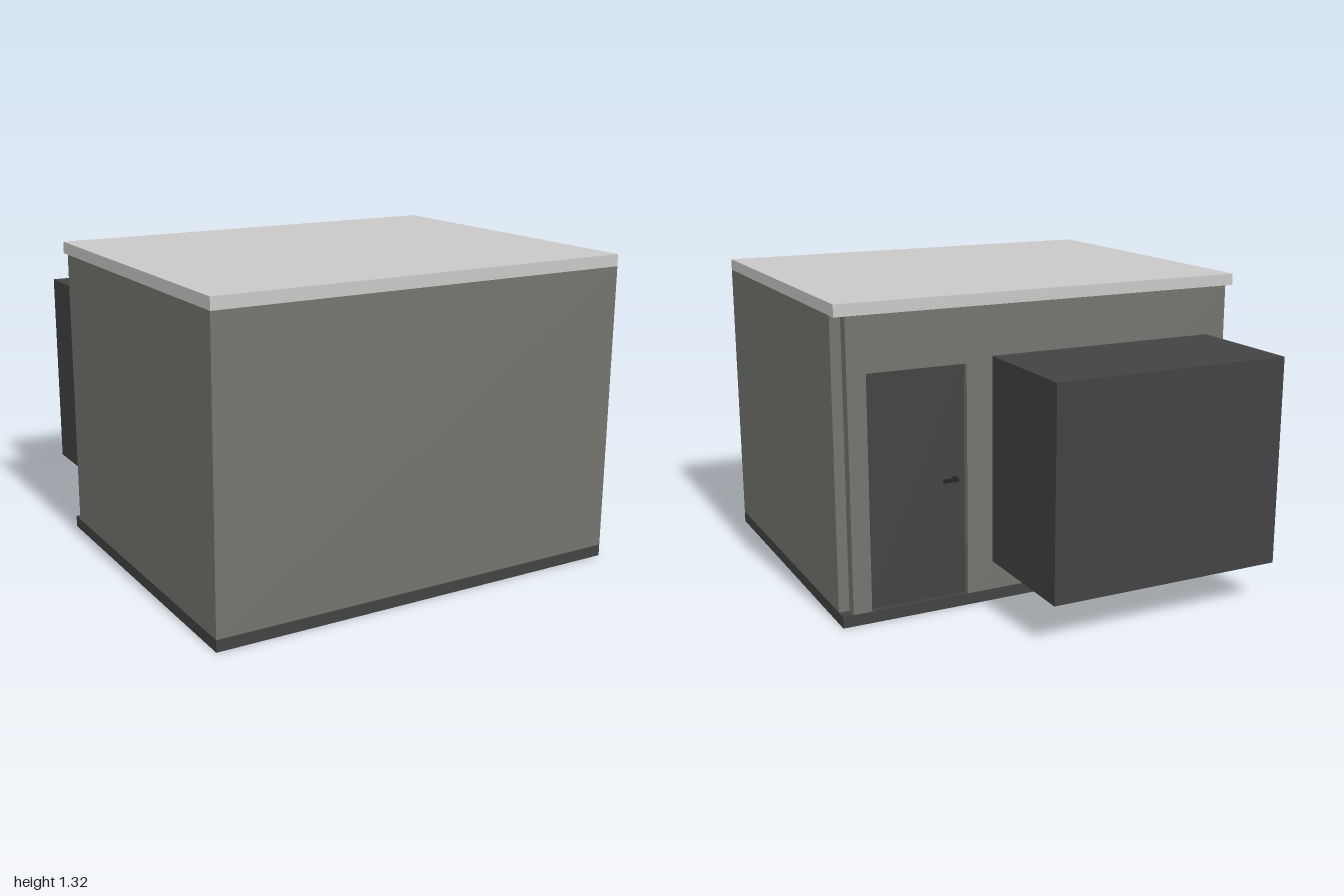
import * as THREE from 'three';

const mat = (name, color) => {
  const m = new THREE.MeshStandardMaterial({ color });
  m.name = name;
  return m;
};

export function createModel() {
  const group = new THREE.Group();
  const wall = mat('wallGrey', 0x74736e);
  const light = mat('roofGrey', 0xc9c8c6);
  const dark = mat('darkGrey', 0x424242);
  const black = mat('handleBlack', 0x242424);

  const add = (name, geometry, material) => {
    const mesh = new THREE.Mesh(geometry, material);
    mesh.name = name;
    group.add(mesh);
    return mesh;
  };
  // Box given by its two opposite corners
  const box = (name, material, [x0, y0, z0], [x1, y1, z1]) => {
    const mesh = add(name, new THREE.BoxGeometry(x1 - x0, y1 - y0, z1 - z0), material);
    mesh.position.set((x0 + x1) / 2, (y0 + y1) / 2, (z0 + z1) / 2);
  };

  // Plinth, main body and flat roof
  box('base', dark, [-0.925, 0, -0.46], [0.925, 0.05, 1]);
  box('body', wall, [-0.925, 0.05, -0.41], [0.925, 1.27, 1]);
  box('roof', light, [-0.925, 1.27, -0.46], [0.925, 1.32, 1]);

  // Rear wall, inset to leave notched corners, with a doorway cut up from the floor
  const rear = new THREE.Shape([
    [-0.88, 0.05], [0.37, 0.05], [0.37, 1.04], [0.8, 1.04],
    [0.8, 0.05], [0.88, 0.05], [0.88, 1.27], [-0.88, 1.27],
  ].map(([x, y]) => new THREE.Vector2(x, y)));
  const rearGeometry = new THREE.ExtrudeGeometry(rear, { depth: 0.05, bevelEnabled: false });
  add('rearWall', rearGeometry, wall).position.z = -0.46;

  // Recessed door with a lever handle
  box('door', dark, [0.37, 0.05, -0.435], [0.8, 1.04, -0.41]);
  box('handleStem', black, [0.41, 0.55, -0.455], [0.425, 0.565, -0.435]);
  box('handleLever', black, [0.41, 0.55, -0.465], [0.475, 0.565, -0.453]);

  // Equipment cabinet hung on the rear wall
  box('rearCabinet', dark, [-0.795, 0.175, -1], [0.255, 1.06, -0.46]);

  return group;
}
